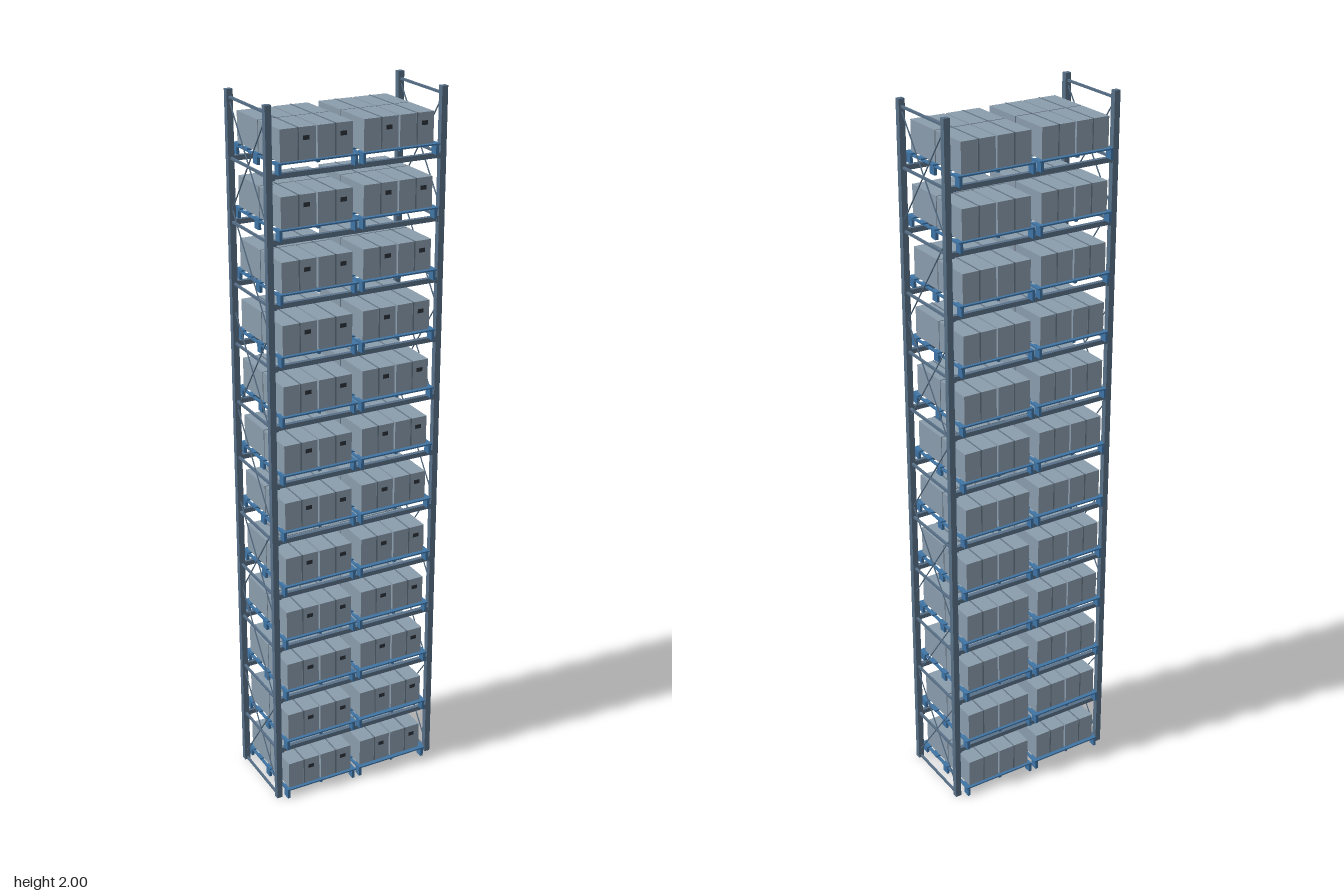
import * as THREE from 'three';

const slate = new THREE.MeshStandardMaterial({ color: 0x8a9cac });
const steel = new THREE.MeshStandardMaterial({ color: 0x587088 });
const blue = new THREE.MeshStandardMaterial({ color: 0x3f74a5 });
const band = new THREE.MeshStandardMaterial({ color: 0x667686 });
const dark = new THREE.MeshStandardMaterial({ color: 0x2b3036 });

// Box given by its min and max corners
function block(parent, name, min, max, material) {
  const size = max.map((v, i) => v - min[i]);
  const mesh = new THREE.Mesh(new THREE.BoxGeometry(...size), material);
  mesh.position.set(...max.map((v, i) => (v + min[i]) / 2));
  mesh.name = name;
  parent.add(mesh);
}

// Thin bar between two points in a side frame
function brace(parent, x, y0, z0, y1, z1) {
  const length = Math.hypot(y1 - y0, z1 - z0);
  const mesh = new THREE.Mesh(new THREE.BoxGeometry(0.003, 0.002, length), steel);
  mesh.position.set(x, (y0 + y1) / 2, (z0 + z1) / 2);
  mesh.rotation.x = -Math.atan2(y1 - y0, z1 - z0);
  mesh.name = 'diagonalBrace';
  parent.add(mesh);
}

// Carton with a tape band down the middle and a small front label
function carton(parent, x, y, z, w, h, d) {
  const box = new THREE.Group();
  box.name = 'carton';
  box.position.set(x, y, z);
  block(box, 'cartonBody', [0, 0, 0], [w, h, d], slate);
  block(box, 'tape', [w / 2 - 0.002, h * 0.02, -0.001], [w / 2 + 0.002, h + 0.001, d + 0.001], band);
  block(box, 'label', [w * 0.64, h * 0.6, d], [w * 0.82, h * 0.74, d + 0.001], dark);
  parent.add(box);
}

// Pallet, origin at its left back bottom corner (z centred)
function pallet() {
  const g = new THREE.Group();
  g.name = 'pallet';
  const boards = [[-0.133, -0.1], [-0.075, -0.047], [-0.015, 0.013], [0.045, 0.073], [0.098, 0.131]];
  for (const [z0, z1] of boards) block(g, 'deckBoard', [0, 0.025, z0], [0.223, 0.029, z1], blue);
  for (const x of [0, 0.105, 0.211])
    block(g, 'stringer', [x, 0.021, -0.133], [x + 0.008, 0.025, 0.131], blue);
  for (const x of [0, 0.211]) for (const z of [-0.122, -0.001, 0.12])
    block(g, 'foot', [x, 0, z - 0.011], [x + 0.008, 0.021, z + 0.011], blue);
  return g;
}

export function createModel() {
  const model = new THREE.Group();
  model.name = 'palletRack';
  const levels = 12, pitch = 0.1664;

  // Side frames: posts, level struts and alternating diagonals
  for (const side of [-1, 1]) {
    const frame = new THREE.Group();
    frame.name = side < 0 ? 'rightFrame' : 'leftFrame';
    const x = side * 0.2475;
    for (const z of [-0.11, 0.108])
      block(frame, 'post', [x - 0.0085, 0, z - 0.008], [x + 0.0085, 2, z + 0.008], steel);
    const strut = y => block(frame, 'strut', [x - 0.003, y - 0.003, -0.105], [x + 0.003, y + 0.003, 0.103], steel);
    strut(0.005);
    strut(1.98);
    for (let i = 1; i < levels; i++) strut(i * pitch - 0.005);
    for (let k = 0; k < 7; k++) {
      const y0 = 0.03 + k * 0.277, y1 = y0 + 0.277;
      brace(frame, x, y0, 0.102, y1, -0.104);
      if (k % 2 === 0) brace(frame, x, y0, -0.104, y1, 0.102);
    }
    model.add(frame);
  }

  // Levels: beams with end brackets, two loaded pallets each
  for (let i = 0; i < levels; i++) {
    const level = new THREE.Group();
    level.name = 'level' + (i + 1);
    level.position.y = i * pitch;
    if (i > 0) for (const z of [-0.11, 0.108]) {
      block(level, 'beam', [-0.239, -0.013, z - 0.006], [0.239, 0, z + 0.006], steel);
      for (const s of [-1, 1])
        block(level, 'beamBracket', [s * 0.2355 - 0.0035, -0.015, z - 0.007], [s * 0.2355 + 0.0035, 0.001, z + 0.007], steel);
    }
    // Right and left pallet: x position, carton offset, carton back edge
    for (const [px, dx, z0] of [[-0.229, 0.0085, -0.122], [0.005, 0.0085, -0.125]]) {
      const p = pallet();
      p.position.x = px;
      for (const col of [0, 1]) for (const row of [0, 1])
        carton(p, dx + col * 0.103, 0.029, z0 + row * 0.124, 0.098, 0.081, 0.12);
      level.add(p);
    }
    model.add(level);
  }
  return model;
}
